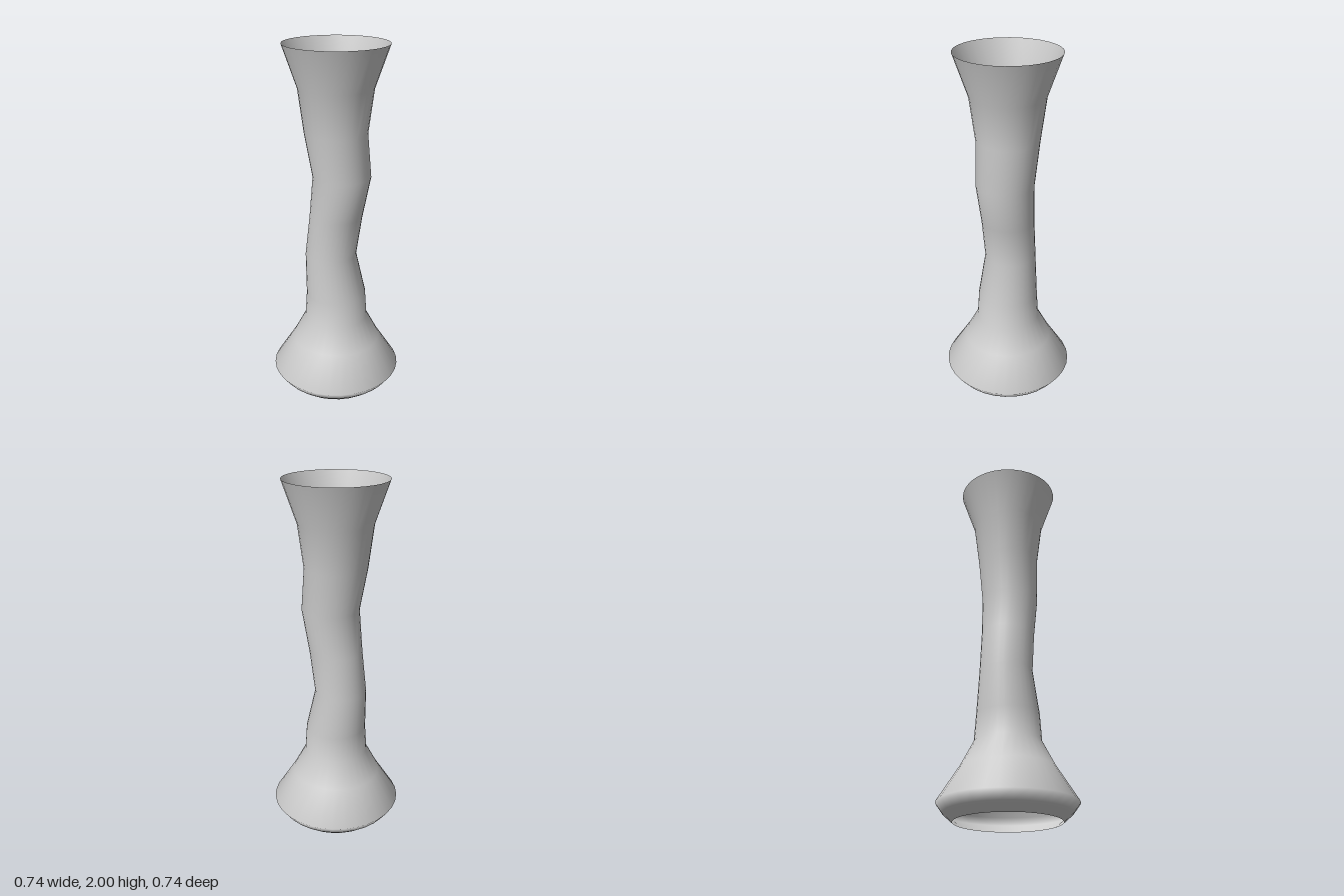
import * as THREE from 'three';

// Cross-sections from foot to mouth: height, sideways shift, radius
const RINGS = [
  [0, 0, 0.283], [0.045, 0, 0.335], [0.095, 0, 0.372], [0.28, 0, 0.255],
  [0.42, 0, 0.182], [0.57, 0, 0.172], [0.81, -0.034, 0.146], [1.05, 0, 0.149],
  [1.29, 0.037, 0.161], [1.53, 0, 0.173], [1.77, 0, 0.204], [2, 0, 0.283],
];
const SIDES = 32;

// Skins the circular sections with shared vertices for smooth shading
function loftRings(rings, sides) {
  const positions = [], indices = [];
  rings.forEach(([y, shift, r], row) => {
    for (let i = 0; i < sides; i++) {
      const a = (i / sides) * Math.PI * 2;
      positions.push(shift + r * Math.sin(a), y, r * Math.cos(a));
      if (row === 0) continue;
      const next = (i + 1) % sides;
      const a0 = (row - 1) * sides + i, b0 = (row - 1) * sides + next;
      const a1 = row * sides + i, b1 = row * sides + next;
      indices.push(a0, b0, b1, a0, b1, a1);
    }
  });
  const geometry = new THREE.BufferGeometry();
  geometry.setAttribute('position', new THREE.Float32BufferAttribute(positions, 3));
  geometry.setIndex(indices);
  geometry.computeVertexNormals();
  return geometry;
}

export function createModel() {
  const group = new THREE.Group();
  group.name = 'vase';
  // Thin wall, open at the mouth and the foot
  const wall = new THREE.Mesh(
    loftRings(RINGS, SIDES),
    new THREE.MeshStandardMaterial({ color: 0xcccccc, side: THREE.DoubleSide }),
  );
  wall.name = 'vaseWall';
  group.add(wall);
  return group;
}
